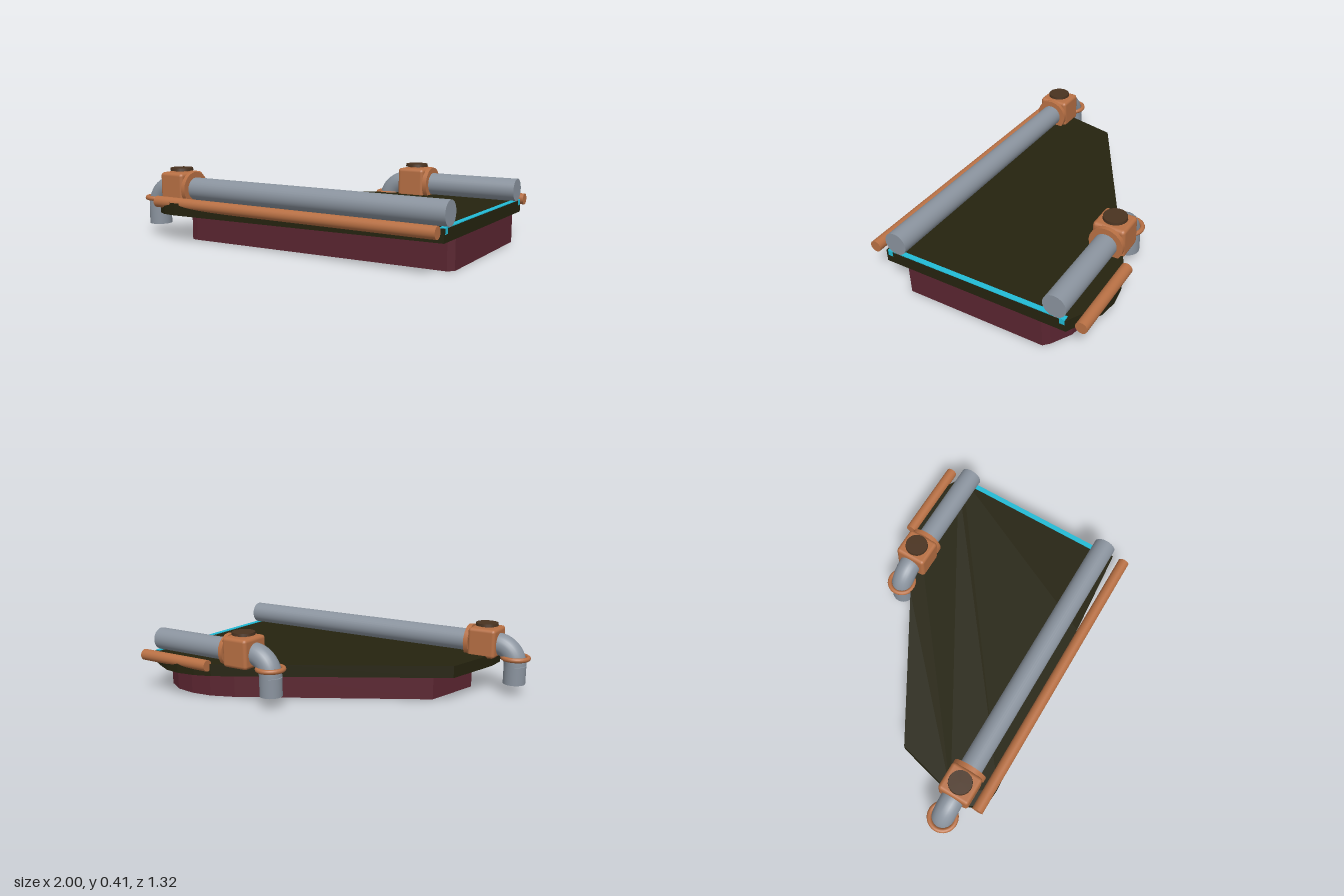
import * as THREE from 'three';
import { RoundedBoxGeometry } from 'three/addons/geometries/RoundedBoxGeometry.js';

const material = (name, color) => Object.assign(new THREE.MeshStandardMaterial({ color }), { name });

export function createModel() {
  const olive = material('dark olive', 0x25230f);
  const maroon = material('maroon', 0x5a2530);
  const copper = material('copper', 0xb87044);
  const steel = material('pipe grey', 0x8a939e);
  const brown = material('dark brown', 0x4a3320);
  const cyan = material('cyan', 0x22bbd6);

  const model = new THREE.Group();
  model.name = 'pipedPlatform';

  const add = (parent, name, geometry, mat, x = 0, y = 0, z = 0) => {
    const mesh = new THREE.Mesh(geometry, mat);
    mesh.name = name;
    mesh.position.set(x, y, z);
    parent.add(mesh);
    return mesh;
  };

  // Flat slab from an outline of [x, z] points
  const slab = (name, outline, y, height, mat) => {
    const shape = new THREE.Shape(outline.map(([x, z]) => new THREE.Vector2(x, -z)));
    const geometry = new THREE.ExtrudeGeometry(shape, { depth: height, bevelEnabled: false });
    geometry.rotateX(-Math.PI / 2);
    return add(model, name, geometry, mat, 0, y, 0);
  };

  // Cylinder lying along x between two ends
  const rod = (parent, name, x0, x1, radius, mat, y, z, sides = 32) => {
    const geometry = new THREE.CylinderGeometry(radius, radius, x1 - x0, sides);
    geometry.rotateZ(Math.PI / 2);
    return add(parent, name, geometry, mat, (x0 + x1) / 2, y, z);
  };

  // Lower hull and the wider deck above it
  slab('hull', [
    [1, 0.41], [0.97, 0.44], [-0.57, 0.525], [-0.61, 0.52], [-0.64, 0.48],
    [-0.55, 0.12], [0.46, -0.455], [0.6, -0.51], [0.73, -0.525],
    [0.86, -0.505], [0.97, -0.44], [1, -0.41],
  ], 0, 0.16, maroon);
  slab('deck', [
    [1, 0.55], [0.45, 0.59], [-0.62, 0.66], [-0.7, 0.655], [-0.76, 0.625], [-0.785, 0.57],
    [-0.78, 0.45], [-0.69, 0.085], [0.13, -0.395], [0.5, -0.61], [0.6, -0.645],
    [0.71, -0.66], [0.81, -0.645], [0.9, -0.6], [0.97, -0.56], [1, -0.545],
  ], 0.16, 0.07, olive);

  // Light strip along the straight edge, with a small tab at each end
  add(model, 'lightStrip', new THREE.BoxGeometry(0.03, 0.005, 1.08), cyan, 0.985, 0.2315, 0);
  for (const side of [1, -1]) {
    add(model, 'lightStripEnd', new THREE.BoxGeometry(0.004, 0.03, 0.03), cyan, 0.999, 0.216, 0.523 * side);
  }

  // Edge rails
  rod(model, 'frontRail', -0.785, 1, 0.033, copper, 0.224, 0.625);
  rod(model, 'backRail', 0.505, 1, 0.033, copper, 0.224, -0.628);

  // Pipe run: straight pipe, valve block and down-turned elbow
  const pipeRun = (name, valveX, z) => {
    const run = new THREE.Group();
    run.name = name;
    run.position.z = z;
    model.add(run);
    const y = 0.295, bend = 0.12;
    const bendX = valveX - 0.065, outletX = bendX - bend;

    rod(run, 'pipe', bendX, 1, 0.066, steel, y, 0);

    // Quarter bend built from an arc path
    const arc = Array.from({ length: 13 }, (_, i) => {
      const a = Math.PI / 2 * (1 + i / 12);
      return new THREE.Vector3(bendX + bend * Math.cos(a), y - bend + bend * Math.sin(a), 0);
    });
    add(run, 'elbow', new THREE.TubeGeometry(new THREE.CatmullRomCurve3(arc), 16, 0.066, 24), steel);
    add(run, 'outlet', new THREE.CylinderGeometry(0.066, 0.066, 0.11, 24), steel, outletX, 0.12, 0);

    // Rounded collar around the outlet
    const collar = new THREE.TorusGeometry(0.075, 0.014, 10, 32);
    collar.rotateX(Math.PI / 2);
    add(run, 'outletCollar', collar, copper, outletX, 0.222, 0);

    // Valve block, its flange and the cap on top
    add(run, 'valveBlock', new RoundedBoxGeometry(0.17, 0.175, 0.19, 2, 0.02), copper, valveX, 0.3025, 0);
    rod(run, 'valveFlange', valveX + 0.083, valveX + 0.11, 0.1, copper, y, 0, 20);
    add(run, 'valveStem', new THREE.CylinderGeometry(0.045, 0.045, 0.02, 20), copper, valveX, 0.393, 0);
    add(run, 'valveCap', new THREE.CylinderGeometry(0.066, 0.068, 0.016, 20), brown, valveX, 0.406, 0);
  };
  pipeRun('frontPipeRun', -0.725, 0.478);
  pipeRun('backPipeRun', 0.355, -0.482);

  return model;
}
